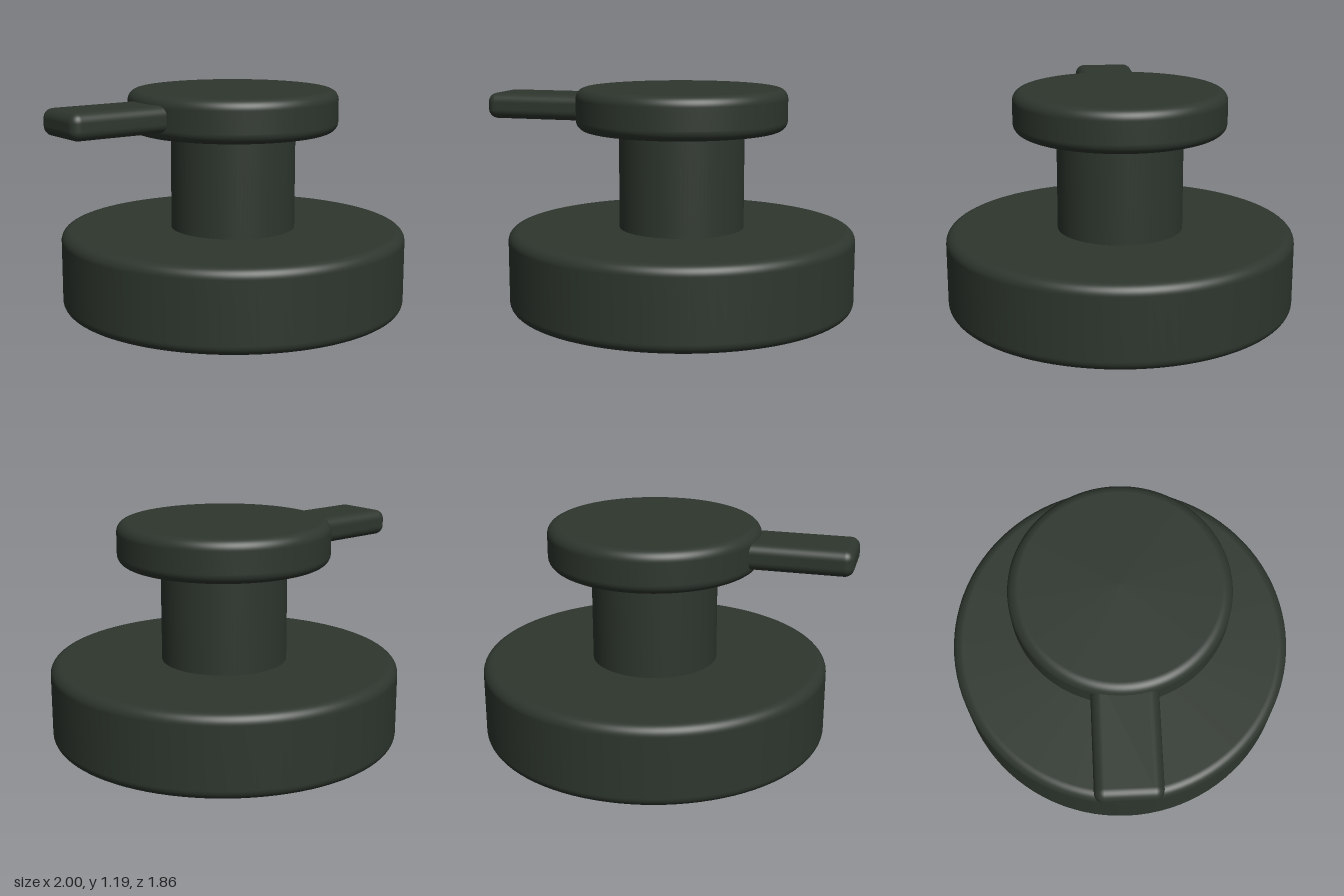
import * as THREE from 'three';
import { RoundedBoxGeometry } from 'three/addons/geometries/RoundedBoxGeometry.js';

const AXIS_X = 0.066;

export function createModel() {
  const group = new THREE.Group();
  const darkGreen = new THREE.MeshStandardMaterial({ color: 0x2e362e });
  darkGreen.name = 'darkGreen';

  const add = (name, geometry, x, y, z = 0) => {
    const mesh = new THREE.Mesh(geometry, darkGreen);
    mesh.name = name;
    mesh.position.set(x, y, z);
    group.add(mesh);
  };

  // Solid disc with rounded rims; lathe profile runs from bottom centre to top centre
  const roundedDisc = (radius, height, bevel) => {
    const path = new THREE.Path();
    path.moveTo(0, 0);
    path.lineTo(radius - bevel, 0);
    path.absarc(radius - bevel, bevel, bevel, -Math.PI / 2, 0);
    path.lineTo(radius, height - bevel);
    path.absarc(radius - bevel, height - bevel, bevel, 0, Math.PI / 2);
    path.lineTo(0, height);
    return new THREE.LatheGeometry(path.getPoints(8), 96);
  };

  // Wide base, narrow stem and cap share one axis
  add('base', roundedDisc(0.932, 0.436, 0.055), AXIS_X, 0);
  add('stem', new THREE.CylinderGeometry(0.336, 0.336, 0.6, 96), AXIS_X, 0.7);
  add('cap', roundedDisc(0.564, 0.225, 0.055), AXIS_X, 0.963);

  // Flat lever reaching out to the model's right
  add('lever', new RoundedBoxGeometry(0.64, 0.138, 0.336, 6, 0.05), -0.68, 1.075);

  return group;
}
